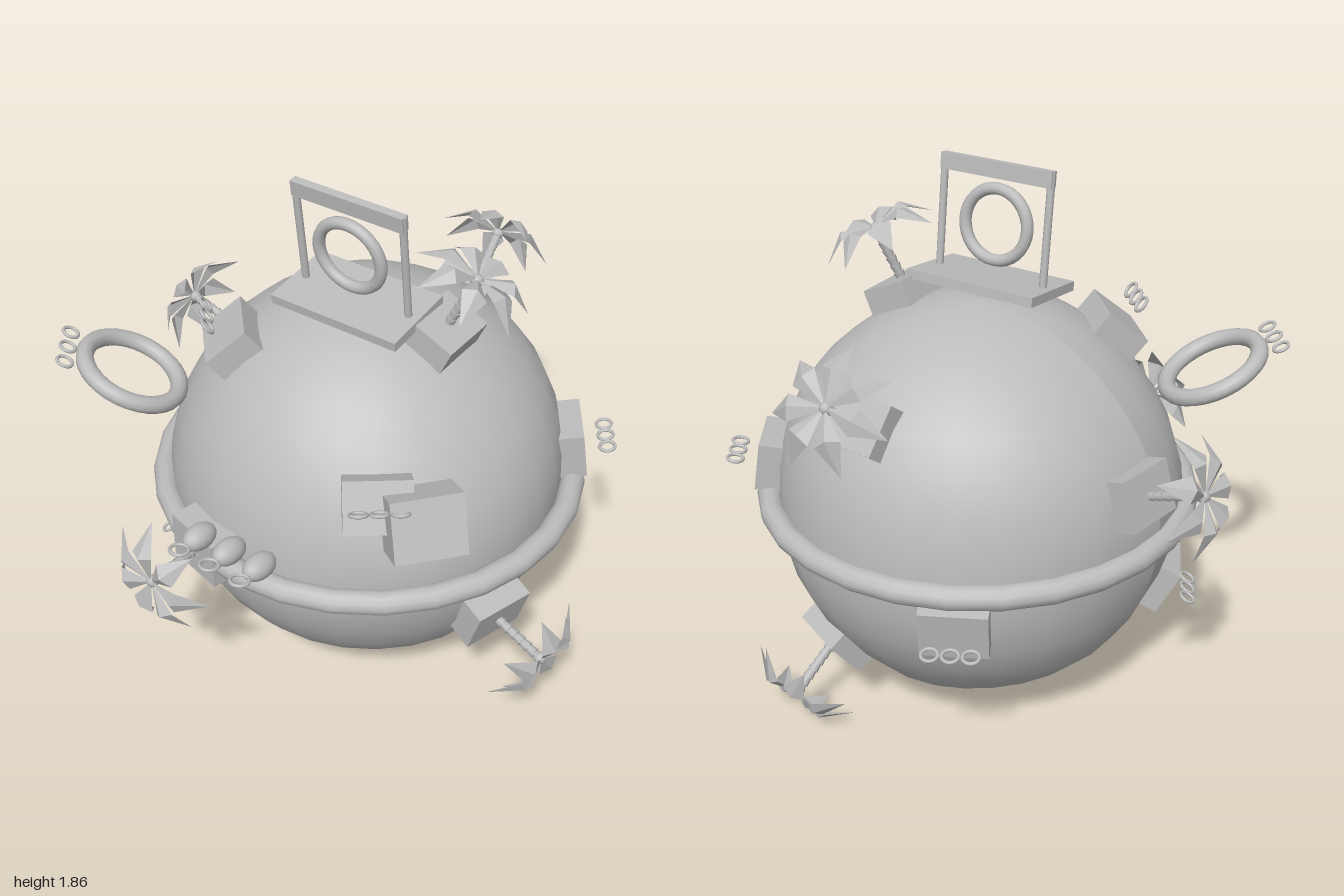
import * as THREE from 'three';

const grey = new THREE.MeshStandardMaterial({ color: 0xbcbcbc, side: THREE.DoubleSide });
grey.name = 'stone grey';

const CENTRE = new THREE.Vector3(0, 0.75, -0.07);

function add(parent, name, geometry, x = 0, y = 0, z = 0) {
  const mesh = new THREE.Mesh(geometry, grey);
  mesh.name = name;
  mesh.position.set(x, y, z);
  parent.add(mesh);
  return mesh;
}

// Group at the globe centre: local z points outward, x runs along the horizon
function outward(parent, name, dir) {
  const r = new THREE.Vector3(...dir).normalize();
  const t = new THREE.Vector3(0, 1, 0).cross(r).normalize();
  const b = r.clone().cross(t);
  const group = new THREE.Group();
  group.name = name;
  group.quaternion.setFromRotationMatrix(new THREE.Matrix4().makeBasis(t, b, r));
  group.position.copy(CENTRE);
  parent.add(group);
  return group;
}

// Ring standing upright on the surface
function standingRing(parent, name, radius, tube, x, z, y = 0) {
  const geo = new THREE.TorusGeometry(radius, tube, 10, radius > 0.1 ? 32 : 18);
  add(parent, name, geo, x, y, z).rotation.x = Math.PI / 2;
}

function ringTrio(parent, spacing, z, radius = 0.027) {
  for (const i of [-1, 0, 1]) standingRing(parent, 'smallRing', radius, 0.006, i * spacing, z);
}

// Slightly uneven round body: soft bulges as [x, y, z, height]
function globeGeometry() {
  const geo = new THREE.SphereGeometry(0.713, 28, 18);
  const p = geo.attributes.position;
  const v = new THREE.Vector3();
  const bulges = [
    [0, -0.64, -0.3, 0.035], [0.5, 0.15, 0.48, 0.02], [0.1, 0.3, -0.64, 0.015], [0.6, -0.3, 0.25, 0.015],
  ].map(([x, y, z, h]) => ({ at: new THREE.Vector3(x, y, z), h }));
  for (let i = 0; i < p.count; i++) {
    v.fromBufferAttribute(p, i);
    let k = 1 + 0.008 * Math.sin(8 * v.y + 4 * v.z);
    for (const { at, h } of bulges) k += h * Math.exp(-v.distanceToSquared(at) / 0.05);
    v.multiplyScalar(k);
    p.setXYZ(i, v.x, v.y, v.z);
  }
  geo.computeVertexNormals();
  return geo;
}

// Folded, drooping leaf: root, raised ridge, two edges and a tip
function leafGeometry() {
  const root = [0, 0, 0], ridge = [0.115, 0, 0.034], tip = [0.212, 0, -0.055];
  const left = [0.12, 0.044, 0.014], right = [0.12, -0.044, 0.014];
  const faces = [root, ridge, left, root, right, ridge, left, ridge, tip, ridge, right, tip];
  const geo = new THREE.BufferGeometry();
  geo.setAttribute('position', new THREE.Float32BufferAttribute(faces.flat(), 3));
  geo.computeVertexNormals();
  return geo;
}

function planter(parent) {
  add(parent, 'planterBox', new THREE.BoxGeometry(0.225, 0.175, 0.11), 0, 0, 0.725);
}

function palm(parent, dir) {
  const g = outward(parent, 'palmTree', dir);
  planter(g);
  // Slightly leaning trunk of flared segments
  const trunk = new THREE.Group();
  trunk.name = 'trunkAndCrown';
  trunk.position.z = 0.77;
  trunk.rotation.y = 0.17;
  g.add(trunk);
  const rings = 7, step = 0.205 / rings;
  for (let i = 0; i < rings; i++) {
    const seg = new THREE.CylinderGeometry(0.019, 0.014, step, 8);
    add(trunk, 'trunkSegment', seg, 0, 0, step * (i + 0.5)).rotation.x = Math.PI / 2;
  }
  add(trunk, 'crownBud', new THREE.SphereGeometry(0.022, 10, 8), 0, 0, 0.198);
  const leaf = leafGeometry();
  for (let i = 0; i < 7; i++) {
    add(trunk, 'leaf', leaf, 0, 0, 0.205).rotation.z = (i / 7) * Math.PI * 2 - 0.09;
  }
}

export function createModel() {
  const model = new THREE.Group();
  model.name = 'palmGlobe';

  add(model, 'globe', globeGeometry(), -0.01, 0.748, -0.085);
  const belt = add(model, 'belt', new THREE.TorusGeometry(0.739, 0.043, 12, 28), 0.007, 0.746, -0.067);
  belt.rotation.x = Math.PI / 2;

  // Palms in planters
  const palms = [
    [0.4, 0.9, 0], [-0.905, 0.285, -0.165], [-0.23, 0.005, 0.915],
    [0.915, -0.305, 0.295], [0.332, -0.6, -0.717], [0.09, 0.6, -0.757],
  ];
  for (const dir of palms) palm(model, dir);

  // Boxes carrying three small rings
  const boxes = [
    [-0.39, 0.645, 0.36], [-0.69, -0.4, 0.33], [0.46, 0.39, 0.6],
    [0.71, 0.13, -0.46], [-0.37, -0.14, -0.74],
  ];
  for (const dir of boxes) {
    const g = outward(model, 'ringBox', dir);
    planter(g);
    ringTrio(g, 0.065, 0.86);
  }

  // Large plain box
  const crate = outward(model, 'largeCrate', [0.55, 0.31, 0.48]);
  add(crate, 'crate', new THREE.BoxGeometry(0.24, 0.205, 0.15), 0, 0, 0.78);

  // Big standing ring with small rings beyond it
  const hoop = outward(model, 'hoop', [-0.66, 0.42, 0.51]);
  standingRing(hoop, 'bigRing', 0.174, 0.031, 0, 0.915);
  ringTrio(hoop, 0.087, 1.15);

  // Three pods with rings
  const pods = outward(model, 'pods', [0.01, 0.14, 0.79]);
  for (const i of [-1, 0, 1]) {
    add(pods, 'pod', new THREE.SphereGeometry(1, 18, 12), i * 0.123, 0, 0.81).scale.set(0.044, 0.044, 0.07);
  }
  ringTrio(pods, 0.123, 0.912, 0.031);

  // Gate with a hanging ring on top
  const gate = outward(model, 'gate', [0, 0.73, 0.09]);
  gate.position.x += 0.012;
  add(gate, 'gateBase', new THREE.BoxGeometry(0.495, 0.28, 0.033), 0, 0, 0.74);
  for (const s of [-1, 1]) {
    const post = new THREE.CylinderGeometry(0.0135, 0.0135, 0.39, 10);
    add(gate, 'gatePost', post, s * 0.206, 0, 0.945).rotation.x = Math.PI / 2;
  }
  add(gate, 'gateBeam', new THREE.BoxGeometry(0.43, 0.03, 0.055), 0, 0, 1.115);
  standingRing(gate, 'gateRing', 0.122, 0.021, 0, 0.927, -0.015);

  return model;
}
